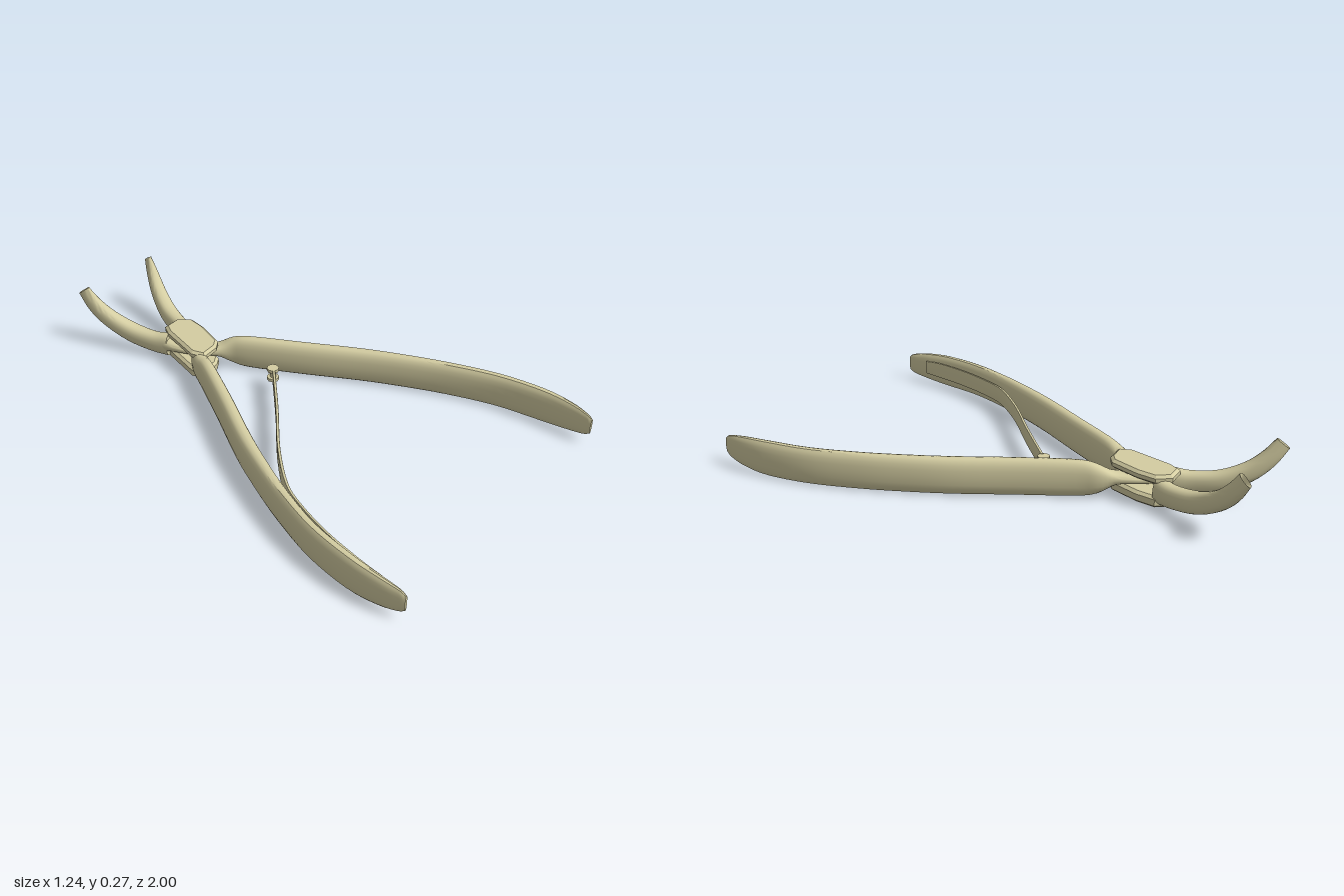
import * as THREE from 'three';
import { toCreasedNormals } from 'three/addons/utils/BufferGeometryUtils.js';

const material = new THREE.MeshStandardMaterial({ color: 0xd4cda2 });

// Loft of superellipse sections; station = [x, y, z, half width, half height]
function loft(stations, { sides = 20, power = 2.5, steps = 4, cup = 0 } = {}) {
  const path = new THREE.CatmullRomCurve3(
    stations.map(s => new THREE.Vector3(s[0], s[1], s[2])), false, 'catmullrom', 0.5);
  const size = new THREE.CatmullRomCurve3(
    stations.map(s => new THREE.Vector3(s[3], s[4], 0)), false, 'catmullrom', 0.5);
  const rings = (stations.length - 1) * steps;
  const up = new THREE.Vector3(0, 1, 0);
  const round = v => Math.sign(v) * Math.pow(Math.abs(v), 2 / power);
  const pos = [], idx = [];
  for (let i = 0; i <= rings; i++) {
    const t = i / rings;
    const c = path.getPoint(t), d = size.getPoint(t), T = path.getTangent(t);
    const S = T.clone().cross(up).normalize(), N = S.clone().cross(T);
    for (let j = 0; j < sides; j++) {
      const a = (j / sides) * Math.PI * 2;
      const p = c.clone()
        .addScaledVector(S, d.x * round(Math.cos(a)))
        .addScaledVector(N, d.y * round(Math.sin(a)));
      pos.push(p.x, p.y, p.z);
    }
  }
  for (let i = 0; i < rings; i++) {
    for (let j = 0; j < sides; j++) {
      const a = i * sides + j, b = i * sides + (j + 1) % sides;
      idx.push(a, a + sides, b, b, a + sides, b + sides);
    }
  }
  // end caps, the last one optionally hollowed
  const p0 = path.getPoint(0);
  const p1 = path.getPoint(1).addScaledVector(path.getTangent(1), -cup);
  const k = pos.length / 3, last = rings * sides;
  pos.push(p0.x, p0.y, p0.z, p1.x, p1.y, p1.z);
  for (let j = 0; j < sides; j++) {
    const n = (j + 1) % sides;
    idx.push(k, j, n, k + 1, last + n, last + j);
  }
  const g = new THREE.BufferGeometry();
  g.setAttribute('position', new THREE.Float32BufferAttribute(pos, 3));
  g.setIndex(idx);
  return toCreasedNormals(g, 0.6);
}

function add(parent, name, geometry, x = 0, y = 0, z = 0) {
  const mesh = new THREE.Mesh(geometry, material);
  mesh.name = name;
  mesh.position.set(x, y, z);
  parent.add(mesh);
  return mesh;
}

const mirror = stations => stations.map(([x, ...rest]) => [-x, ...rest]);

// Grip from the joint to its end, on the +x side
const grip = [
  [0.09, 0.074, -0.38, 0.034, 0.056],
  [0.125, 0.0745, -0.31, 0.033, 0.071],
  [0.235, 0.075, -0.11, 0.034, 0.073],
  [0.35, 0.075, 0.09, 0.034, 0.073],
  [0.43, 0.075, 0.25, 0.031, 0.073],
  [0.5, 0.075, 0.41, 0.028, 0.073],
  [0.565, 0.075, 0.6, 0.026, 0.073],
  [0.595, 0.075, 0.78, 0.024, 0.072],
  [0.598, 0.077, 0.9, 0.019, 0.062],
  [0.592, 0.078, 0.975, 0.011, 0.047],
  [0.59, 0.078, 1.0, 0.006, 0.032],
];

// Jaw rising from the joint to its cupped tip, on the +x side
const jaw = [
  [0.05, 0.07, -0.61, 0.034, 0.05],
  [0.075, 0.068, -0.68, 0.033, 0.044],
  [0.105, 0.085, -0.78, 0.035, 0.041],
  [0.14, 0.13, -0.87, 0.031, 0.037],
  [0.166, 0.185, -0.93, 0.024, 0.034],
  [0.183, 0.25, -0.975, 0.011, 0.03],
];

export function createModel() {
  const model = new THREE.Group();
  model.name = 'pliers';

  // Slotted lever: grip on the right, jaw on the left
  const slotted = new THREE.Group();
  slotted.name = 'slottedLever';
  model.add(slotted);
  add(slotted, 'slottedGrip', loft([[-0.055, 0.07, -0.43, 0.034, 0.058], ...mirror(grip)]));
  add(slotted, 'slottedJaw', loft(jaw, { cup: 0.03 }));

  // Two joint plates with the slot between them
  const outline = new THREE.Shape([
    [-0.08, 0.375], [0.0, 0.385], [0.035, 0.41], [0.075, 0.53],
    [0.085, 0.61], [0.045, 0.66], [-0.03, 0.655], [-0.055, 0.61], [-0.1, 0.43],
  ].map(p => new THREE.Vector2(...p)));
  const plate = (depth) => new THREE.ExtrudeGeometry(outline, {
    depth: depth - 0.02, bevelEnabled: true, bevelThickness: 0.01,
    bevelSize: 0.012, bevelOffset: -0.012, bevelSegments: 1,
  }).translate(0, 0, 0.01).rotateX(-Math.PI / 2);
  add(slotted, 'upperJointPlate', plate(0.035), 0, 0.1, 0);
  add(slotted, 'lowerJointPlate', plate(0.045), 0, 0.008, 0);

  // Through lever: one piece from jaw to grip, thinned where it crosses the slot
  const neck = [
    [-0.045, 0.075, -0.58, 0.034, 0.022],
    [0.0, 0.075, -0.5, 0.045, 0.018],
    [0.05, 0.075, -0.43, 0.036, 0.024],
  ];
  const throughJaw = add(model, 'throughJaw', loft(mirror(jaw), { cup: 0.03 }));
  throughJaw.userData.part = 'throughLever';
  add(model, 'throughGrip', loft([[-0.06, 0.072, -0.63, 0.03, 0.03], ...neck, ...grip]));

  // Leaf spring fixed to the inside of the right grip
  add(model, 'leafSpring', loft([
    [-0.572, 0.08, 0.89, 0.005, 0.03],
    [-0.565, 0.08, 0.8, 0.005, 0.035],
    [-0.535, 0.078, 0.64, 0.005, 0.036],
    [-0.485, 0.076, 0.48, 0.005, 0.036],
    [-0.43, 0.075, 0.37, 0.006, 0.036],
    [-0.3, 0.074, 0.22, 0.006, 0.035],
    [-0.12, 0.073, 0.052, 0.006, 0.034],
    [0.06, 0.072, -0.125, 0.006, 0.032],
  ], { sides: 16, power: 6 }));

  // Forked spring tip with a small roller
  const tip = new THREE.Group();
  tip.name = 'springTip';
  tip.position.set(0.07, 0.074, -0.138);
  tip.rotation.y = Math.PI / 4;
  model.add(tip);
  add(tip, 'roller', new THREE.CylinderGeometry(0.012, 0.012, 0.05, 12));
  for (const s of [-1, 1]) {
    add(tip, 'prong', new THREE.CylinderGeometry(0.025, 0.025, 0.013, 8), 0, s * 0.021, 0);
  }
  return model;
}
